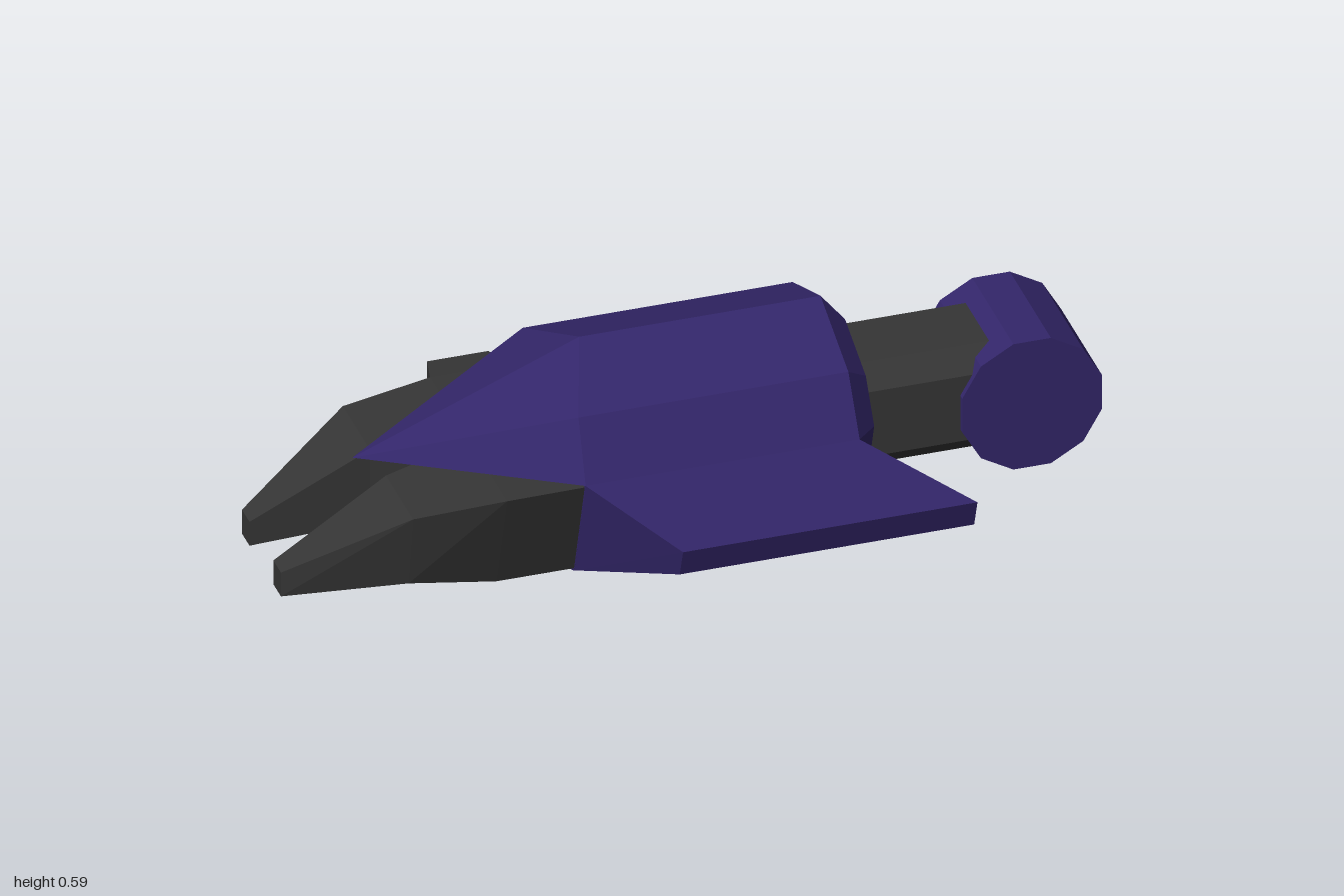
import * as THREE from 'three';
import { mergeGeometries } from 'three/addons/utils/BufferGeometryUtils.js';
import { ConvexGeometry } from 'three/addons/geometries/ConvexGeometry.js';

const CZ = 0.057; // arm axis in z
const v = (x, y, z) => new THREE.Vector3(x, y, z);

// Solid made of convex segments between consecutive cross-sections
function chain(sections) {
  const parts = [];
  for (let i = 0; i + 1 < sections.length; i++) {
    parts.push(new ConvexGeometry([...sections[i], ...sections[i + 1]]));
  }
  return mergeGeometries(parts);
}

// Four-cornered section across the x axis: top z range and bottom z range
const slice = (x, yLow, yHigh, top, bottom = top) => [
  v(x, yHigh, top[0]), v(x, yHigh, top[1]), v(x, yLow, bottom[1]), v(x, yLow, bottom[0]),
];

export function createModel() {
  const group = new THREE.Group();
  const purple = new THREE.MeshStandardMaterial({ color: 0x33266a, flatShading: true });
  purple.name = 'purple armour';
  const dark = new THREE.MeshStandardMaterial({ color: 0x353535, flatShading: true });
  dark.name = 'dark metal';

  const add = (name, geometry, material) => {
    const mesh = new THREE.Mesh(geometry, material);
    mesh.name = name;
    group.add(mesh);
    return mesh;
  };

  // Eight-sided gauntlet with a chamfered elbow end; [z offset, y offset] from the axis
  const cy = 0.295;
  const outline = [
    [0, 0.295], [0.21, 0.21], [0.295, 0.075], [0.21, -0.206],
    [0, -0.295], [-0.21, -0.206], [-0.295, 0.075], [-0.21, 0.21],
  ];
  const ring = (x, s) => outline.map(([z, y]) => v(x, cy + y * s, CZ + z * s));
  const wrist = ring(-0.31, 1);
  wrist[0].x = -0.23;
  wrist[1].x = wrist[7].x = -0.3;
  add('gauntlet', chain([wrist, ring(0.36, 1), ring(0.42, 0.745)]), purple);

  // Pointed guard over the back of the hand
  const upper = [wrist[6], wrist[7], wrist[0], wrist[1], wrist[2]];
  add('handGuard', new ConvexGeometry([v(-0.785, 0.365, CZ), ...upper]), purple);

  // Swept side fin
  add('sideFin', new ConvexGeometry([
    v(-0.31, 0.37, 0.352), v(-0.31, 0.09, 0.267), v(0.36, 0.37, 0.352), v(0.36, 0.09, 0.267),
    v(-0.11, 0.22, 0.47), v(0.61, 0.22, 0.47), v(-0.11, 0.145, 0.445), v(0.61, 0.145, 0.445),
  ]), purple);

  // Forearm bar with cut corners
  const h = 0.14, c = 0.088;
  const bar = (x) => [[h, c], [c, h], [-c, h], [-h, c], [-h, -c], [-c, -h], [c, -h], [h, -c]]
    .map(([z, y]) => v(x, 0.305 + y, 0.055 + z));
  add('forearm', chain([bar(0.4), bar(0.78)]), dark);

  // Twelve-sided elbow drum lying along z
  const drum = new THREE.CylinderGeometry(0.177, 0.177, 0.31, 12);
  drum.rotateY(Math.PI / 12);
  drum.rotateX(Math.PI / 2);
  add('elbowJoint', drum, purple).position.set(0.828, 0.296, 0.055);

  // Palm
  const palmTop = [-0.235, 0.345], palmBottom = [-0.15, 0.265];
  add('palm', chain([
    slice(-0.3, 0.095, 0.362, palmTop, palmBottom),
    slice(-0.5, 0.095, 0.36, palmTop, palmBottom),
  ]), dark);

  // Two tapering claws
  const claws = [
    ['leftClaw', [0.345, 0.06], [0.265, 0.06], 1],
    ['rightClaw', [-0.235, 0.05], [-0.15, 0.05], -1],
  ];
  for (const [name, top, bottom, s] of claws) {
    const z = (a, b) => [0.035 + s * a, 0.035 + s * b];
    add(name, chain([
      slice(-0.5, 0.095, 0.36, top, bottom),
      slice(-0.715, 0.13, 0.325, z(0.265, 0.06), z(0.23, 0.06)),
      slice(-1, 0.1, 0.165, z(0.147, 0.09)),
    ]), dark);
  }

  // Thumb reaching out of the palm's rear side
  const thumbSlice = (x0, x1, yLow, yHigh, zLow, zHigh) => [
    v(x0, yHigh, zHigh), v(x1, yHigh, zHigh), v(x1, yLow, zLow), v(x0, yLow, zLow),
  ];
  add('thumb', chain([
    thumbSlice(-0.5, -0.31, 0.097, 0.36, -0.15, -0.235),
    thumbSlice(-0.48, -0.33, 0.18, 0.35, -0.32, -0.32),
    thumbSlice(-0.42, -0.39, 0.145, 0.19, -0.47, -0.47),
  ]), dark);

  return group;
}
